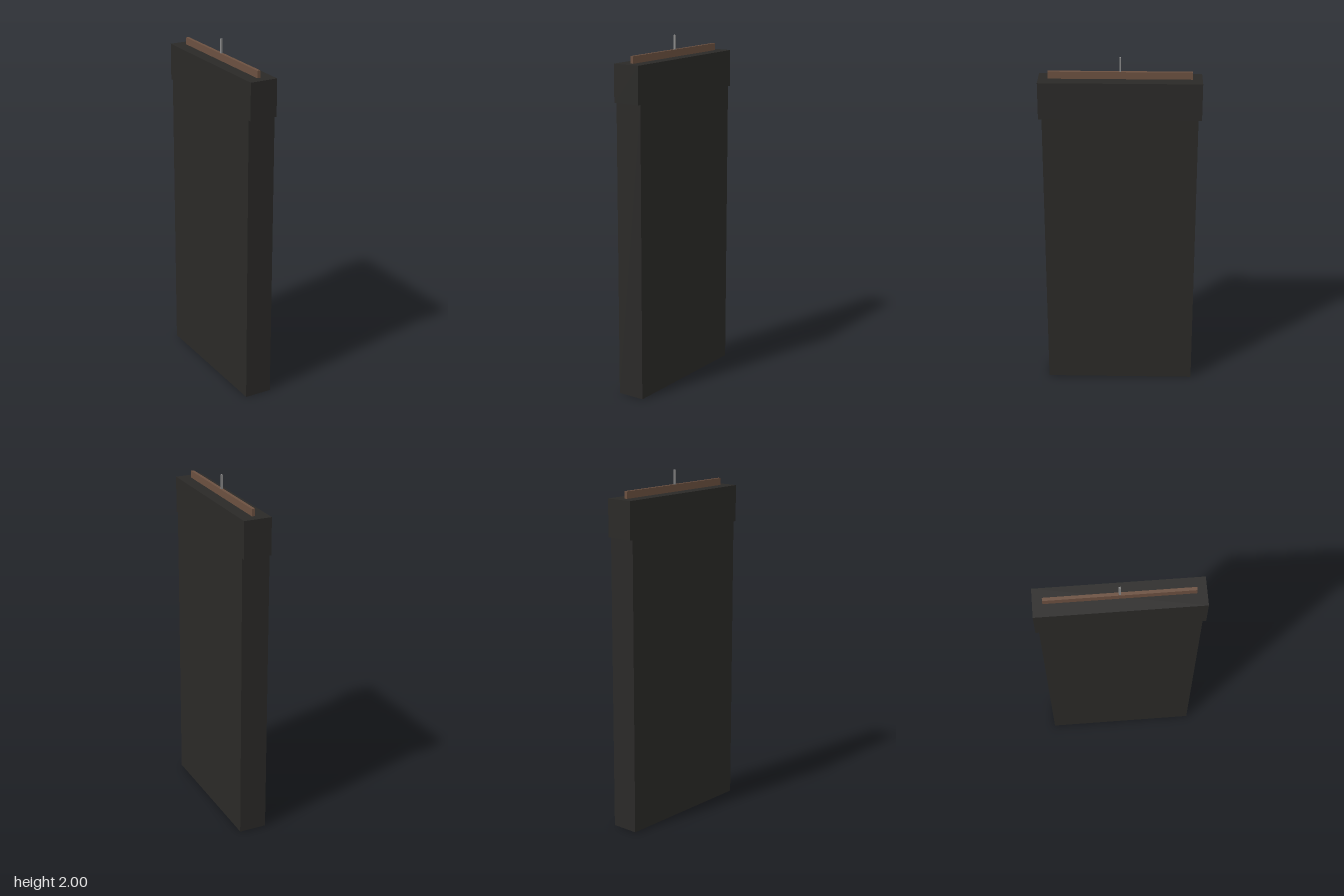
import * as THREE from 'three';

export function createModel() {
  const model = new THREE.Group();
  const charcoal = new THREE.MeshStandardMaterial({ color: 0x2a2927 });
  const brown = new THREE.MeshStandardMaterial({ color: 0x6b5040 });
  const grey = new THREE.MeshStandardMaterial({ color: 0x888888 });

  // Box spanning y0..y1, centred on x and z
  const addBox = (name, width, depth, y0, y1, material) => {
    const mesh = new THREE.Mesh(new THREE.BoxGeometry(width, y1 - y0, depth), material);
    mesh.name = name;
    mesh.position.y = (y0 + y1) / 2;
    model.add(mesh);
  };

  // Tall slab with a slightly longer cap flush with its broad faces
  addBox('slab', 0.16, 0.854, 0, 1.67, charcoal);
  addBox('cap', 0.16, 0.892, 1.67, 1.88, charcoal);

  // Thin ridge along the top and the short pin at its middle
  addBox('ridge', 0.018, 0.786, 1.88, 1.92, brown);
  addBox('pin', 0.01, 0.01, 1.92, 2, grey);

  return model;
}
